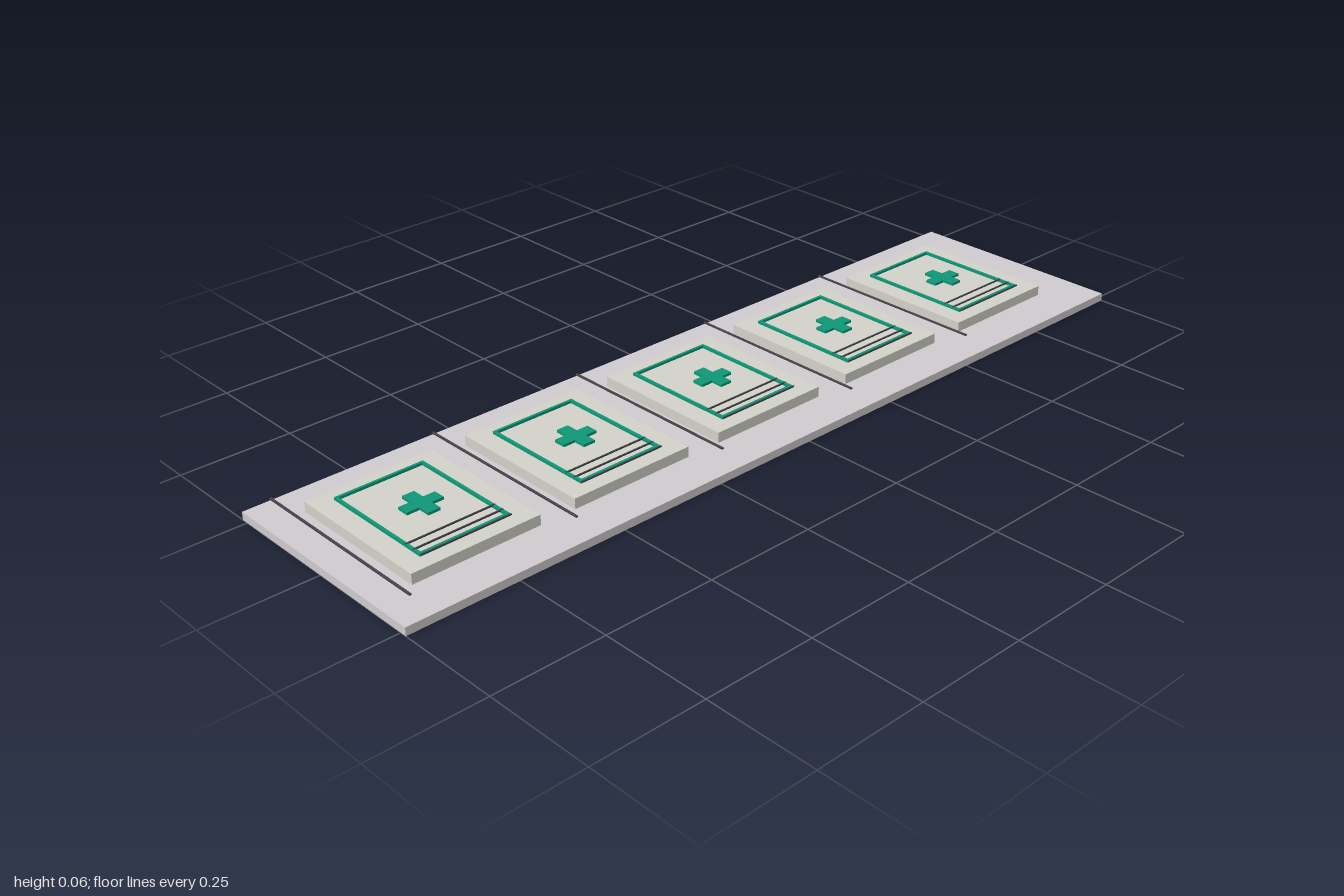
import * as THREE from 'three';

const mat = (color) => new THREE.MeshStandardMaterial({ color });
const baseMat = mat(0xd4ced1);
const tileMat = mat(0xd6d6ce);
const greenMat = mat(0x109a78);
const darkMat = mat(0x45454c);

// Box given by its size, centre x/z and bottom height
function box(parent, name, material, [w, h, d], x, bottom, z) {
  const mesh = new THREE.Mesh(new THREE.BoxGeometry(w, h, d), material);
  mesh.name = name;
  mesh.position.set(x, bottom + h / 2, z);
  parent.add(mesh);
  return mesh;
}

// Flat shape in the x/z plane, extruded upwards
function slab(parent, name, shape, height, bottom) {
  const geometry = new THREE.ExtrudeGeometry(shape, { depth: height, bevelEnabled: false });
  geometry.rotateX(-Math.PI / 2);
  const mesh = new THREE.Mesh(geometry, greenMat);
  mesh.name = name;
  mesh.position.y = bottom;
  parent.add(mesh);
}

const rectPoints = (a, b) => [[-a, -b], [a, -b], [a, b], [-a, b]].map(([x, y]) => new THREE.Vector2(x, y));

function createPanel() {
  const panel = new THREE.Group();
  panel.name = 'panel';
  box(panel, 'tile', tileMat, [0.344, 0.023, 0.292], 0, 0.024, 0);

  // Thin rectangular border
  const border = new THREE.Shape(rectPoints(0.1375, 0.102));
  border.holes.push(new THREE.Path(rectPoints(0.1315, 0.096)));
  slab(panel, 'border', border, 0.006, 0.0475);

  // Raised plus sign made of two crossing bars
  box(panel, 'crossBarWide', greenMat, [0.084, 0.006, 0.028], 0, 0.055, 0);
  box(panel, 'crossBarLong', greenMat, [0.028, 0.006, 0.084], 0, 0.0545, 0);

  // Three fine stripes along the +x edge
  for (let i = 0; i < 3; i++) {
    box(panel, 'stripe', darkMat, [0.003, 0.003, 0.204], 0.092 + i * 0.0245, 0.0515, 0);
  }

  // Divider rod in front of the tile
  box(panel, 'divider', darkMat, [0.452, 0.003, 0.005], 0, 0.046, 0.1855);
  return panel;
}

export function createModel() {
  const model = new THREE.Group();
  model.name = 'panelStrip';
  box(model, 'base', baseMat, [0.53, 0.018, 2], 0, 0, 0);
  for (let i = 0; i < 5; i++) {
    const panel = createPanel();
    panel.position.z = -0.727 + i * 0.375;
    model.add(panel);
  }
  return model;
}
